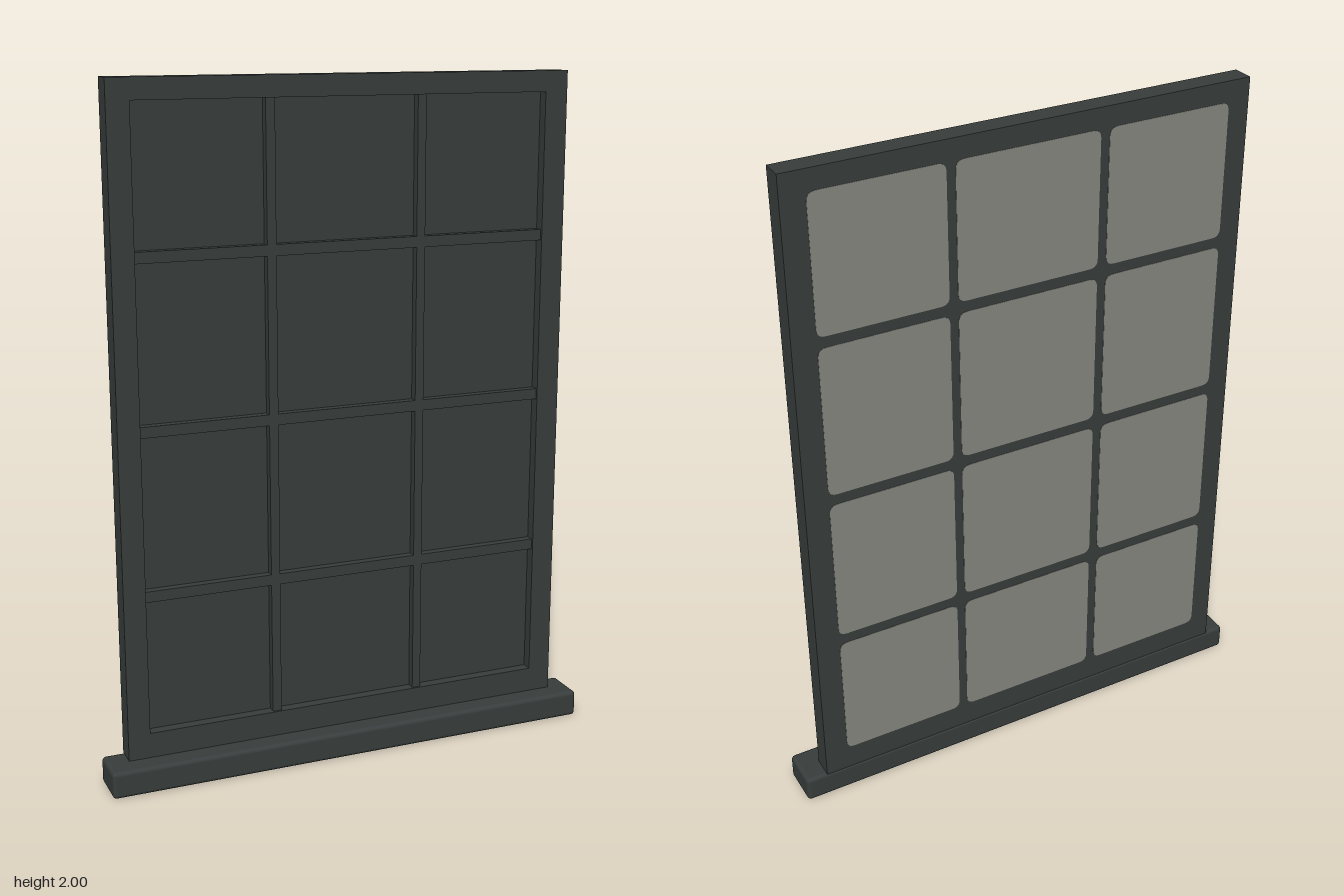
import * as THREE from 'three';
import { RoundedBoxGeometry } from 'three/addons/geometries/RoundedBoxGeometry.js';

export function createModel() {
  const model = new THREE.Group();
  const charcoal = new THREE.MeshStandardMaterial({ name: 'charcoal', color: 0x383e3d });
  const paneGrey = new THREE.MeshStandardMaterial({ name: 'pane grey', color: 0x888882 });

  const add = (name, geometry, material, x, y, z, parent = model) => {
    const mesh = new THREE.Mesh(geometry, material);
    mesh.name = name;
    mesh.position.set(x, y, z);
    parent.add(mesh);
    return mesh;
  };

  // Opening inside the frame, and the clear spans between glazing bars
  const left = -0.62, right = 0.615, bottom = 0.155, top = 1.94;
  const columns = [[left, -0.242], [-0.215, 0.212], [0.238, right]];
  const rows = [[bottom, 0.55], [0.582, 1.028], [1.06, 1.51], [1.542, top]];
  const back = -0.065;

  const rectangle = (target, x0, y0, x1, y1) =>
    target.moveTo(x0, y0).lineTo(x1, y0).lineTo(x1, y1).lineTo(x0, y1).closePath();

  // Sill with softened edges
  add('sill', new RoundedBoxGeometry(1.5, 0.08, 0.13, 3, 0.012), charcoal, 0, 0.04, 0);

  // Outer frame
  const outline = new THREE.Shape();
  rectangle(outline, -0.685, 0.079, 0.685, 2);
  const opening = new THREE.Path();
  rectangle(opening, left, bottom, right, top);
  outline.holes.push(opening);
  add('frame', new THREE.ExtrudeGeometry(outline, { depth: 0.065, bevelEnabled: false }), charcoal, 0, 0, back);

  // Dark panel recessed behind the glazing bars
  const midX = (left + right) / 2, midY = (bottom + top) / 2;
  add('backingPanel', new THREE.BoxGeometry(right - left, top - bottom, 0.033), charcoal, midX, midY, back + 0.0165);

  // Glazing bars, set slightly behind the frame face
  const bars = new THREE.Group();
  bars.name = 'glazingBars';
  model.add(bars);
  for (let i = 0; i < columns.length - 1; i++) {
    const x0 = columns[i][1], x1 = columns[i + 1][0];
    add('verticalBar', new THREE.BoxGeometry(x1 - x0, top - bottom, 0.026), charcoal, (x0 + x1) / 2, midY, -0.02, bars);
  }
  for (let i = 0; i < rows.length - 1; i++) {
    const y0 = rows[i][1], y1 = rows[i + 1][0];
    for (const [x0, x1] of columns) {
      add('horizontalBar', new THREE.BoxGeometry(x1 - x0, y1 - y0, 0.026), charcoal, (x0 + x1) / 2, (y0 + y1) / 2, -0.02, bars);
    }
  }

  // Pale panes with rounded corners on the back
  const panes = new THREE.Group();
  panes.name = 'backPanes';
  model.add(panes);
  for (const [x0, x1] of columns) {
    for (const [y0, y1] of rows) {
      const r = 0.025;
      const s = new THREE.Shape();
      s.moveTo(x0 + r, y0).lineTo(x1 - r, y0).quadraticCurveTo(x1, y0, x1, y0 + r);
      s.lineTo(x1, y1 - r).quadraticCurveTo(x1, y1, x1 - r, y1);
      s.lineTo(x0 + r, y1).quadraticCurveTo(x0, y1, x0, y1 - r);
      s.lineTo(x0, y0 + r).quadraticCurveTo(x0, y0, x0 + r, y0);
      const plate = new THREE.ExtrudeGeometry(s, { depth: 0.003, bevelEnabled: false, curveSegments: 5 });
      add('pane', plate, paneGrey, 0, 0, back - 0.001, panes);
    }
  }
  return model;
}
